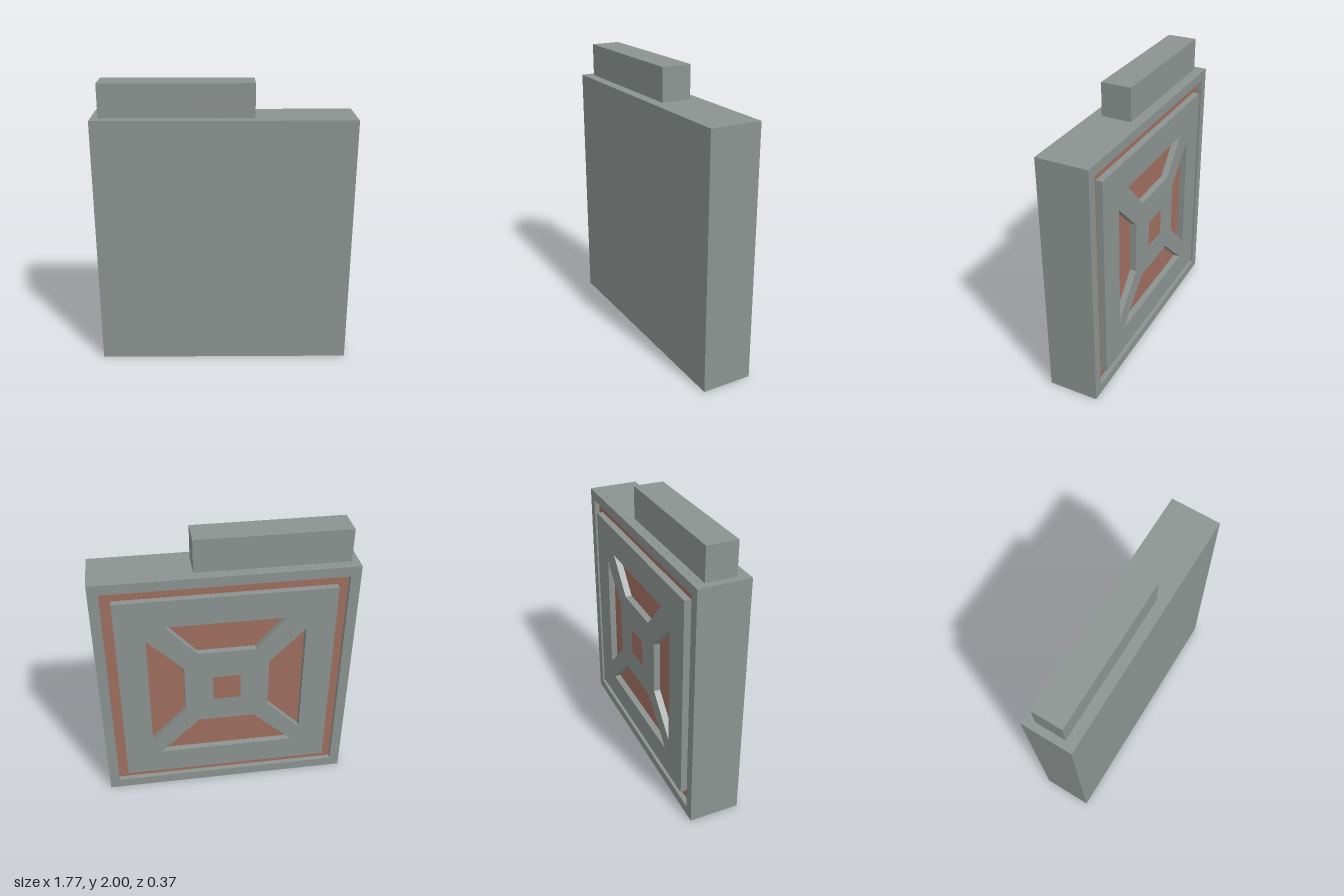
import * as THREE from 'three';

const CY = 0.886;      // centre height of the slab
const HALF = 0.883;    // half width of the slab
const FRONT = 0.183, RIM = -0.172, FLOOR = -0.136, FACE = -0.182;

// Closed outline from [x, y] pairs measured from the slab centre
const outline = (pts, Type = THREE.Shape) => new Type(pts.map(([x, y]) => new THREE.Vector2(x, y)));
const square = (h) => [[-h, -h], [h, -h], [h, h], [-h, h]];

export function createModel() {
  const grey = new THREE.MeshStandardMaterial({ color: 0x8c9390 });
  grey.name = 'stone grey';
  const brown = new THREE.MeshStandardMaterial({ color: 0x9f6f5f });
  brown.name = 'clay brown';
  const group = new THREE.Group();

  const add = (name, geometry, material, x, y, z) => {
    const mesh = new THREE.Mesh(geometry, material);
    mesh.name = name;
    mesh.position.set(x, y, z);
    group.add(mesh);
  };
  const box = (name, material, x0, x1, y0, y1, z0, z1) =>
    add(name, new THREE.BoxGeometry(x1 - x0, y1 - y0, z1 - z0), material,
      (x0 + x1) / 2, (y0 + y1) / 2, (z0 + z1) / 2);
  const panel = (name, outer, holes, z0, z1) => {
    const shape = outline(outer);
    shape.holes = holes.map((h) => outline(h, THREE.Path));
    const geometry = new THREE.ExtrudeGeometry(shape, { depth: z1 - z0, bevelEnabled: false });
    add(name, geometry, grey, 0, CY, z0);
  };

  // Slab with a raised rim around a shallow recess in its back
  const base = FLOOR + 0.006;
  box('slab', grey, -HALF, HALF, CY - HALF, CY + HALF + 0.001, base, FRONT);
  panel('backRim', square(HALF), [square(0.813)], RIM, base);
  box('recessFloor', brown, -0.813, 0.813, CY - 0.813, CY + 0.813, FLOOR, base);

  // Raised plate with four tapered openings
  const side = (s) => [[s * 0.54, -0.44], [s * 0.54, 0.44], [s * 0.295, 0.19], [s * 0.295, -0.19]];
  const top = [[-0.41, 0.54], [0.41, 0.54], [0.2, 0.305], [-0.2, 0.305]];
  const bottom = [[-0.485, -0.555], [0.485, -0.555], [0.2, -0.28], [-0.2, -0.28]];
  panel('backPlate', square(0.742), [side(-1), side(1), top, bottom], FACE, FLOOR);

  // Small square inlay in the middle of the plate
  box('centreInlay', brown, -0.096, 0.096, CY - 0.096, CY + 0.096, FACE - 0.001, FACE + 0.004);

  // Offset block on top
  box('topBlock', grey, -0.832, 0.207, 1.77, 2, -0.1, 0.11);

  return group;
}
